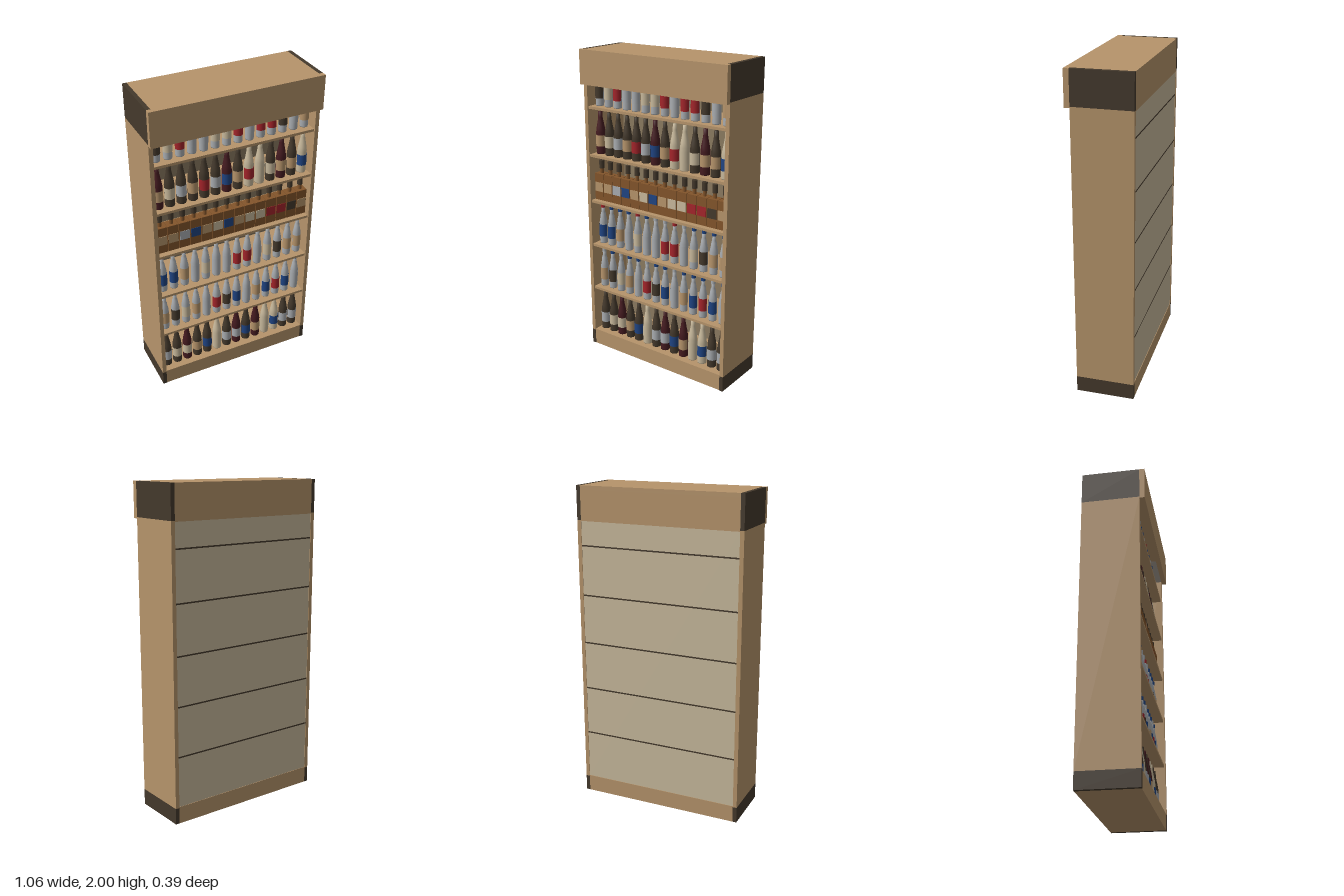
import * as THREE from 'three';

const mat = (name, color, extra = {}) => new THREE.MeshStandardMaterial({ name, color, ...extra });

export function createModel() {
  const D = { side: THREE.DoubleSide };
  const M = {
    t: mat('tan wood', 0xb6946b),
    k: mat('dark brown', 0x44392c, D),
    c: mat('cream', 0xc8b99c, D),
    s: mat('silver', 0xa9adb1, D),
    r: mat('red', 0xa4242a, D),
    b: mat('blue', 0x1f4483, D),
    w: mat('wine', 0x451b20),
    a: mat('amber', 0x83552b),
    i: mat('inner back brown', 0x8c7b61),
    l: mat('label tan', 0xb6946b, D),
  };
  const root = new THREE.Group();
  root.name = 'bottleShelf';

  const add = (parent, name, geo, m, x = 0, y = 0, z = 0) => {
    const mesh = new THREE.Mesh(geo, m);
    mesh.name = name;
    mesh.position.set(x, y, z);
    parent.add(mesh);
    return mesh;
  };
  // Box given by its lower and upper corners
  const block = (name, m, x0, x1, y0, y1, z0, z1) =>
    add(root, name, new THREE.BoxGeometry(x1 - x0, y1 - y0, z1 - z0), m,
      (x0 + x1) / 2, (y0 + y1) / 2, (z0 + z1) / 2);

  // Cabinet: sides in three sections, with dark ends
  for (const s of [-1, 1]) {
    const a = Math.min(s * 0.505, s * 0.53), b = Math.max(s * 0.505, s * 0.53);
    block('sideFoot', M.k, a, b, 0, 0.1, -0.195, 0.163);
    block('sidePanel', M.t, a, b, 0.1, 1.795, -0.195, 0.163);
    block('sideHead', M.k, a, b, 1.795, 2, -0.195, 0.163);
  }
  block('plinth', M.t, -0.505, 0.505, 0, 0.105, -0.195, 0.16);
  block('headerFront', M.t, -0.53, 0.53, 1.787, 2, 0.163, 0.195);
  block('headerTop', M.t, -0.505, 0.505, 1.975, 2, -0.195, 0.163);
  block('headerBack', M.t, -0.505, 0.505, 1.79, 1.975, -0.195, -0.18);
  block('backPanel', M.c, -0.505, 0.505, 0.105, 1.79, -0.192, -0.186);
  block('innerBack', M.i, -0.505, 0.505, 0.105, 1.79, -0.186, -0.18);

  // Shelves, with the dark joint that shows on the back
  const levels = [0.105, 0.425, 0.733, 1.035, 1.34, 1.648];
  for (const y of levels.slice(1)) {
    block('shelf', M.t, -0.505, 0.505, y - 0.016, y, -0.18, 0.155);
    block('backJoint', M.k, -0.505, 0.505, y - 0.012, y - 0.003, -0.1925, -0.192);
  }

  // Bottle shapes
  const lathe = pts => new THREE.LatheGeometry(pts.map(p => new THREE.Vector2(...p)), 10);
  const wineGeo = lathe([[0, 0], [0.029, 0], [0.03, 0.005], [0.03, 0.14], [0.026, 0.17],
    [0.019, 0.205], [0.014, 0.235], [0.013, 0.27], [0, 0.27]]);
  const clearGeo = lathe([[0, 0], [0.025, 0], [0.026, 0.005], [0.026, 0.145], [0.019, 0.182],
    [0.017, 0.2], [0.012, 0.215], [0.012, 0.245], [0, 0.245]]);
  const capGeo = new THREE.CylinderGeometry(0.014, 0.014, 0.024, 10);
  const wrap = (r, h) => new THREE.CylinderGeometry(r, r, h, 8, 1, true, -Math.PI / 2, Math.PI);
  const wineLabel = wrap(0.0315, 0.072), clearLabel = wrap(0.028, 0.083);
  const flaskGeo = new THREE.BoxGeometry(0.069, 0.175, 0.06);
  const flaskNeck = new THREE.CylinderGeometry(0.012, 0.012, 0.035, 10);
  const flaskCap = new THREE.CylinderGeometry(0.017, 0.017, 0.052, 10);
  const flaskLabel = new THREE.BoxGeometry(0.062, 0.06, 0.004);

  const kinds = {
    wine(g, glass, label) {
      add(g, 'bottle', wineGeo, M[glass]);
      add(g, 'label', wineLabel, M[label], 0, 0.086, 0);
    },
    clear(g, cap, label) {
      add(g, 'bottle', clearGeo, M.s);
      add(g, 'cap', capGeo, M[cap], 0, 0.255, 0);
      add(g, 'label', clearLabel, M[label], 0, 0.088, 0);
    },
    flask(g, cap, label) {
      add(g, 'flask', flaskGeo, M.a, 0, 0.0875, 0);
      add(g, 'neck', flaskNeck, M.a, 0, 0.192, 0);
      add(g, 'cap', flaskCap, M[cap], 0, 0.234, 0);
      add(g, 'label', flaskLabel, M[label], 0, 0.087, 0.031);
    },
  };

  // Each row: kind, glass or cap colours, label colours
  const rows = [
    ['wine', 'kkwkkckwkwcckk', 'scclbcssblcbss'],
    ['clear', 'sbsbbsbbsbbbsb', 'lkclsrkbslbrbs'],
    ['clear', 'rbbbrbssrsbbbb', 'bblscssrrsckll'],
    ['flask', 'kkkkkkkkkkkkkk', 'llsblcblccrrkl'],
    ['wine', 'wkkkkkwkcckwkc', 'lcslrsblrccllb'],
    ['clear', 'bsbrbsbbsrbbsb', 'kcrssccrsrrksl'],
  ];
  rows.forEach(([kind, first, labels], j) => {
    const row = new THREE.Group();
    row.name = kind + 'Row';
    row.position.set(0, levels[j], 0.09);
    for (let i = 0; i < 14; i++) {
      const g = new THREE.Group();
      g.name = kind + 'Bottle';
      g.position.x = -0.467 + i * 0.0722;
      kinds[kind](g, first[i], labels[i]);
      row.add(g);
    }
    root.add(row);
  });
  return root;
}
